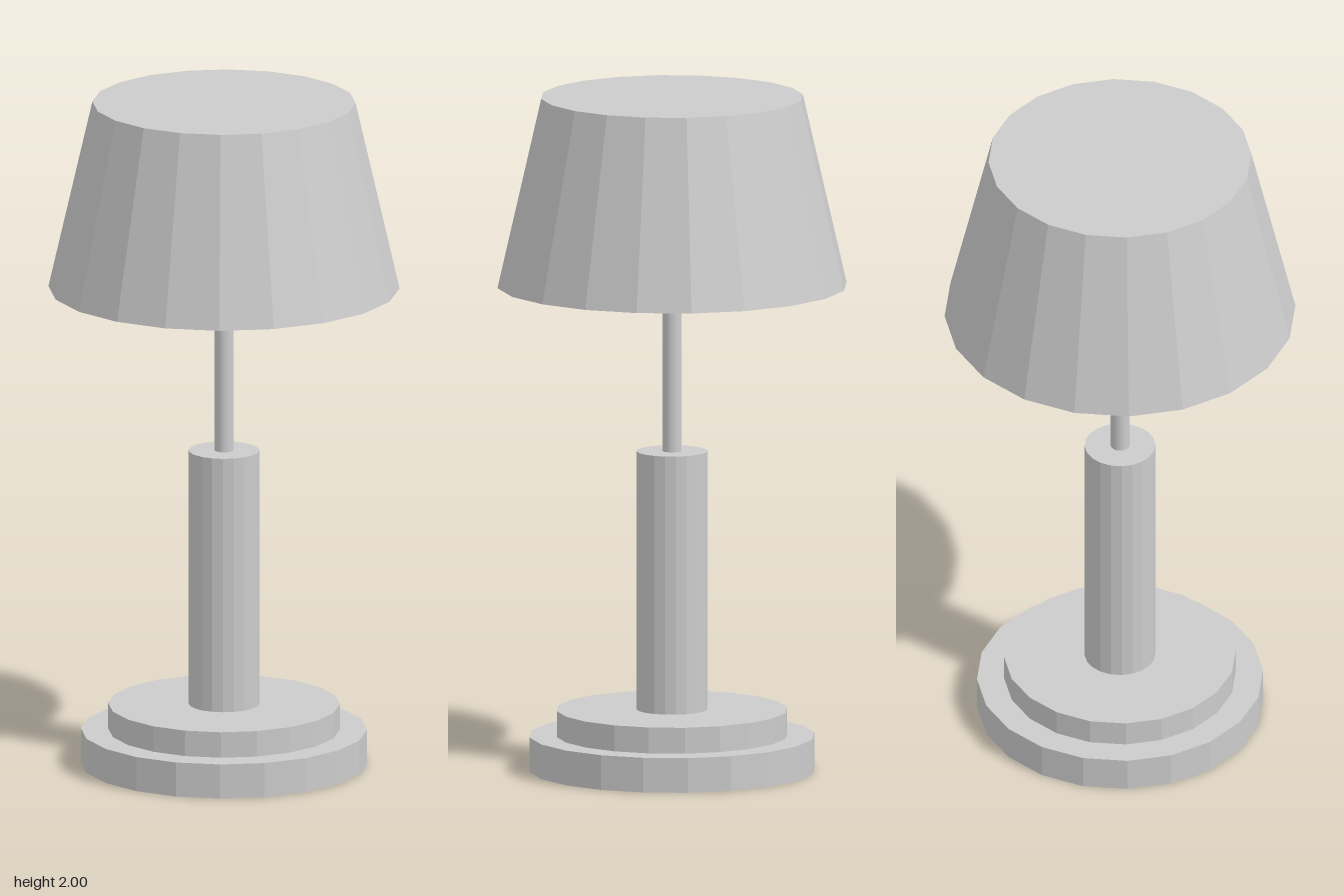
import * as THREE from 'three';

const SIDES = 20;

export function createModel() {
  const group = new THREE.Group();
  group.name = 'tableLamp';
  const material = new THREE.MeshStandardMaterial({ color: 0xcccccc, flatShading: true });

  // Adds a closed, faceted drum between two heights
  function addDrum(name, bottomRadius, topRadius, y0, y1) {
    const geometry = new THREE.CylinderGeometry(topRadius, bottomRadius, y1 - y0, SIDES);
    const mesh = new THREE.Mesh(geometry, material);
    mesh.name = name;
    mesh.position.y = (y0 + y1) / 2;
    group.add(mesh);
  }

  // Stepped foot
  addDrum('lowerBase', 0.42, 0.42, 0, 0.103);
  addDrum('upperBase', 0.34, 0.34, 0.103, 0.18);

  // Stem
  addDrum('column', 0.104, 0.104, 0.18, 0.947);
  addDrum('rod', 0.028, 0.028, 0.947, 1.44);

  // Tapered shade, closed at both ends
  addDrum('shade', 0.515, 0.386, 1.44, 2);

  return group;
}
